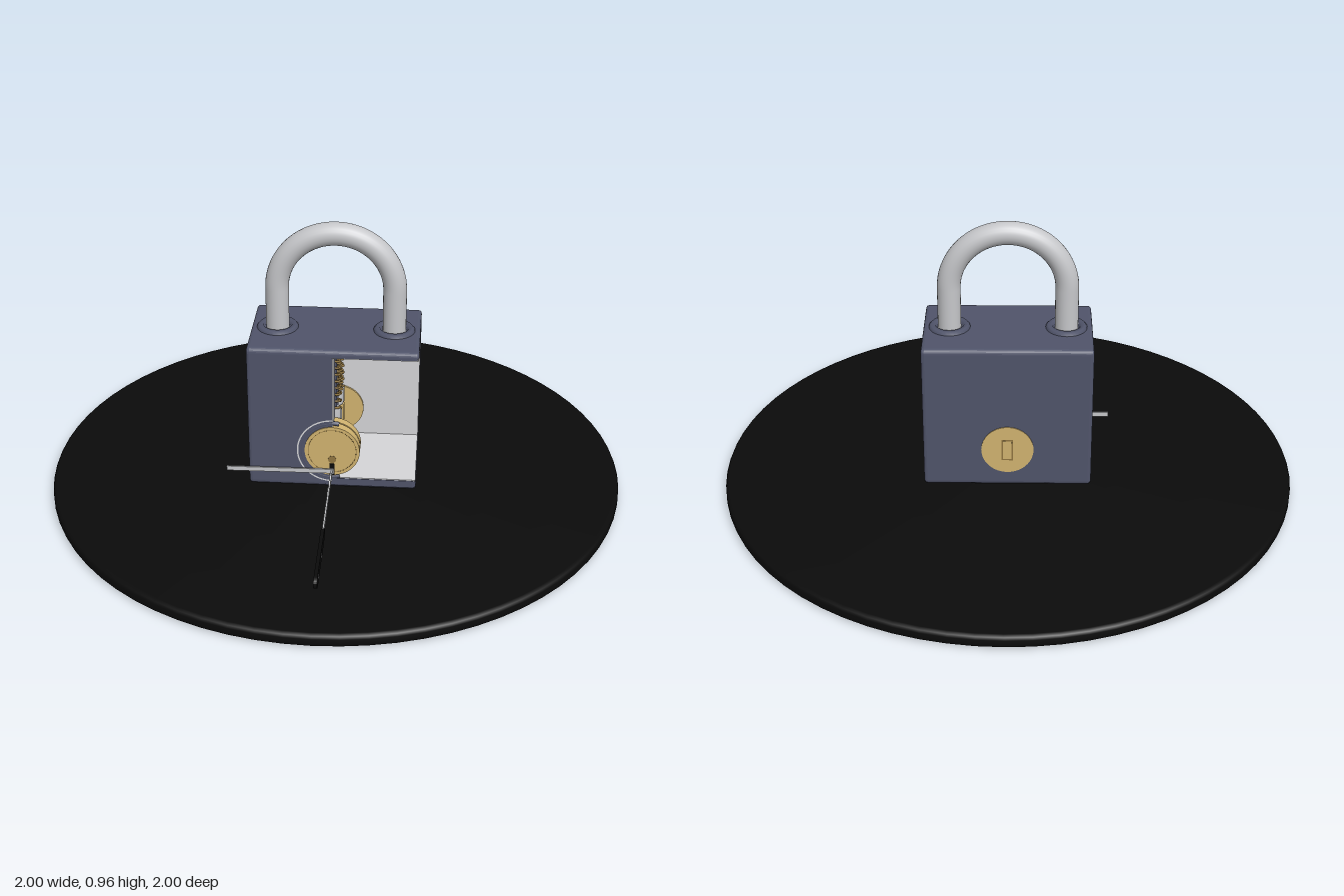
import * as THREE from 'three';

const mat = (name, color) => {
  const m = new THREE.MeshStandardMaterial({ color });
  m.name = name;
  return m;
};

export function createModel() {
  const root = new THREE.Group();
  root.name = 'cutawayPadlock';
  const black = mat('black', 0x0b0b0b);
  const slate = mat('slate', 0x50546a);
  const white = mat('insideWhite', 0xd6d6d8);
  const steel = mat('steel', 0xc6c7ca);
  const brass = mat('brass', 0xd2b470);
  const darkBrass = mat('darkBrass', 0x8f7440);
  white.side = THREE.DoubleSide;

  const add = (name, geo, material, x = 0, y = 0, z = 0, parent = root) => {
    const m = new THREE.Mesh(geo, material);
    m.name = name;
    m.position.set(x, y, z);
    parent.add(m);
    return m;
  };
  const box = (name, material, w, h, d, x, y, z) =>
    add(name, new THREE.BoxGeometry(w, h, d), material, x, y, z);
  // cylinder lying along z
  const disc = (name, material, r, z0, z1, x, y, seg = 48) =>
    add(name, new THREE.CylinderGeometry(r, r, z1 - z0, seg).rotateX(Math.PI / 2), material, x, y, (z0 + z1) / 2);
  const lathe = (pts, seg = 32) =>
    new THREE.LatheGeometry(pts.map(([r, y]) => new THREE.Vector2(r, y)), seg);
  // side profile (u = -z, v = y) swept along x from x0
  const sweepX = (shape, x0, depth, bevel = 0) =>
    new THREE.ExtrudeGeometry(shape, {
      depth, curveSegments: 6, bevelEnabled: bevel > 0, bevelThickness: bevel,
      bevelSize: bevel, bevelOffset: -bevel, bevelSegments: 3,
    }).rotateY(Math.PI / 2).translate(x0, 0, 0);

  // Round base plate
  add('basePlate', lathe([[0, 0], [0.985, 0], [0.997, 0.006], [1, 0.015], [1, 0.032], [0.996, 0.041], [0.985, 0.046], [0, 0.046]], 72), black);

  // Body: solid half, grooved end cap and open half
  const Z = 0.175, B = 0.045, T = 0.575, R = 0.018;
  const sideShape = () => {
    const s = new THREE.Shape();
    s.moveTo(-Z + R, B).lineTo(Z - R, B).quadraticCurveTo(Z, B, Z, B + R);
    s.lineTo(Z, T - R).quadraticCurveTo(Z, T, Z - R, T);
    s.lineTo(-Z + R, T).quadraticCurveTo(-Z, T, -Z, T - R);
    s.lineTo(-Z, B + R).quadraticCurveTo(-Z, B, -Z + R, B);
    return s;
  };
  add('bodySolidHalf', sweepX(sideShape(), -0.276, 0.276), slate);

  const cap = sideShape();
  for (let i = 0; i < 6; i++) {
    const y = 0.15 + i * 0.062, h = 0.011;
    const hole = new THREE.Path();
    hole.moveTo(-0.14, y - h).lineTo(-0.14, y + h).lineTo(0.14, y + h).lineTo(0.14, y - h).closePath();
    cap.holes.push(hole);
  }
  // the groove edges keep a smaller bevel than the body edge
  add('bodyGroovedSide', sweepX(cap, -0.278, 0.012, 0.012), slate);

  const c = new THREE.Shape();
  c.moveTo(-Z, B + 0.008).lineTo(-Z + 0.008, B).lineTo(Z - R, B).quadraticCurveTo(Z, B, Z, B + R);
  c.lineTo(Z, T - R).quadraticCurveTo(Z, T, Z - R, T).lineTo(-Z + R, T).quadraticCurveTo(-Z, T, -Z, T - R);
  c.lineTo(-Z, 0.55).lineTo(0.14, 0.55).lineTo(0.14, 0.08).lineTo(-Z, 0.08);
  add('bodyOpenHalf', sweepX(c, -0.02, 0.298, 0.012), slate);

  // Light lining of the cutaway
  box('liningBack', white, 0.285, 0.466, 0.004, 0.146, 0.314, -0.138);
  box('liningSide', white, 0.004, 0.466, 0.312, 0.001, 0.314, 0.017);
  box('liningFloor', white, 0.284, 0.004, 0.312, 0.146, 0.081, 0.017);
  box('liningRoof', white, 0.284, 0.004, 0.312, 0.146, 0.549, 0.017);

  // Shackle: arch and legs as one path, the +x leg hangs into the cutaway
  const arch = [new THREE.Vector3(-0.2, 0.5, 0), new THREE.Vector3(-0.2, 0.725, 0)];
  const path = new THREE.CurvePath();
  path.add(new THREE.LineCurve3(arch[0], arch[1]));
  class Arch extends THREE.Curve {
    getPoint(t, v = new THREE.Vector3()) {
      const a = Math.PI * (1 - t);
      return v.set(0.2 * Math.cos(a), 0.725 + 0.2 * Math.sin(a), 0);
    }
  }
  path.add(new Arch());
  path.add(new THREE.LineCurve3(new THREE.Vector3(0.2, 0.725, 0), new THREE.Vector3(0.2, 0.525, 0)));
  add('shackle', new THREE.TubeGeometry(path, 90, 0.04, 24), steel);
  add('shackleEnd', new THREE.CylinderGeometry(0.04, 0.04, 0.02, 24), steel, 0.2, 0.519, 0);
  box('shackleLatch', steel, 0.05, 0.025, 0.05, 0.205, 0.515, 0);

  // Collars around the shackle legs
  for (const s of [-1, 1])
    add('shackleCollar', lathe([[0.071, 0.57], [0.071, 0.578], [0.064, 0.586], [0.05, 0.586], [0.044, 0.576]]), slate, s * 0.2, 0, 0);

  // Lock cylinder: front face, stepped rim, cut core and rear plug
  const LY = 0.19;
  disc('lockFace', brass, 0.095, 0.145, 0.178, 0, LY);
  disc('lockRimGroove', darkBrass, 0.089, 0.138, 0.146, 0, LY);
  disc('lockCollar', brass, 0.095, 0.108, 0.139, 0, LY);
  box('lockCore', brass, 0.014, 0.075, 0.245, 0.002, 0.13, -0.014);
  box('lockCoreSeam', darkBrass, 0.003, 0.004, 0.245, 0.009, 0.142, -0.014);
  box('lockCoreSeam', darkBrass, 0.003, 0.004, 0.245, 0.009, 0.104, -0.014);
  disc('rearPlug', brass, 0.09, -0.178, -0.128, 0, LY);
  box('rearSlotFrame', darkBrass, 0.04, 0.082, 0.003, 0, LY, -0.178);
  box('rearSlot', brass, 0.03, 0.072, 0.004, 0, LY, -0.1785);

  add('faceRing', new THREE.TorusGeometry(0.083, 0.002, 4, 48), darkBrass, 0, LY, 0.177);
  add('cutEdgeRing', new THREE.RingGeometry(0.117, 0.122, 40, 1, Math.PI / 2, Math.PI), white, 0, LY, 0.1765);
  add('recessRing', new THREE.TorusGeometry(0.106, 0.008, 8, 40, Math.PI * 1.15).rotateZ(Math.PI * 0.43), slate, 0, LY, 0.168);

  // Keyhole
  disc('keyholeTop', darkBrass, 0.014, 0.177, 0.1795, 0, 0.158, 20);
  box('keyholeSlot', black, 0.018, 0.045, 0.003, 0, 0.118, 0.1785);

  // Pin stacks: chamber, spring, driver pin and pointed key pin
  class Helix extends THREE.Curve {
    constructor(y0, y1, r, turns) {
      super();
      Object.assign(this, { y0, y1, r, turns });
    }
    getPoint(t, v = new THREE.Vector3()) {
      const a = t * this.turns * Math.PI * 2;
      return v.set(this.r * Math.cos(a), this.y0 + (this.y1 - this.y0) * t, this.r * Math.sin(a));
    }
  }
  // [z, bottom of key pin, bottom of driver, top of driver]
  const stacks = [[0.086, 0.148, 0.24, 0.315], [0.03, 0.145, 0.22, 0.28], [-0.028, 0.155, 0.265, 0.325], [-0.086, 0.148, 0.24, 0.305]];
  for (const [z, y0, y1, y2] of stacks) {
    const stack = new THREE.Group();
    stack.name = 'pinStack';
    stack.position.z = z;
    root.add(stack);
    add('chamber', new THREE.BoxGeometry(0.003, 0.548 - y1, 0.046), slate, 0.003, (0.548 + y1) / 2, 0, stack);
    add('spring', new THREE.TubeGeometry(new Helix(y2, 0.546, 0.017, 9), 160, 0.0045, 6), darkBrass, 0.003, 0, 0, stack);
    add('springCore', new THREE.CylinderGeometry(0.008, 0.008, 0.545 - y2, 10), slate, 0.003, (0.545 + y2) / 2, 0, stack);
    add('driverPin', lathe([[0, y1], [0.018, y1], [0.021, y1 + 0.004], [0.021, y2 - 0.004], [0.018, y2], [0, y2]], 20), steel, 0.003, 0, 0, stack);
    add('keyPin', lathe([[0, y0], [0.007, y0], [0.021, y0 + 0.02], [0.021, y1 - 0.006], [0.017, y1], [0, y1]], 20), brass, 0.003, 0, 0, stack);
  }

  // Lock pick: flat blade with a wavy tip, and a dark handle with rivets
  const blade = new THREE.Shape();
  blade.moveTo(-0.12, 0.11).lineTo(-0.2, 0.112).lineTo(-0.34, 0.119).lineTo(-0.57, 0.108);
  blade.lineTo(-0.57, 0.128).lineTo(-0.36, 0.13);
  for (let i = 0; i < 3; i++) {
    const u = -0.335 + i * 0.05;
    blade.lineTo(u, 0.142 - i * 0.003).lineTo(u + 0.025, 0.126 - i * 0.002);
  }
  blade.lineTo(-0.12, 0.118);
  add('pickBlade', sweepX(blade, -0.003, 0.006), steel);

  const grip = new THREE.Shape();
  grip.moveTo(-0.56, 0.106).lineTo(-0.56, 0.132).quadraticCurveTo(-0.58, 0.138, -0.62, 0.136);
  grip.lineTo(-0.82, 0.138).quadraticCurveTo(-0.85, 0.138, -0.85, 0.12).quadraticCurveTo(-0.85, 0.098, -0.82, 0.098);
  grip.lineTo(-0.62, 0.1).quadraticCurveTo(-0.58, 0.098, -0.56, 0.106);
  add('pickHandle', sweepX(grip, -0.006, 0.012), black);
  for (const z of [0.69, 0.8])
    add('handleRivet', new THREE.CylinderGeometry(0.008, 0.008, 0.014, 12).rotateZ(Math.PI / 2), steel, 0, 0.118, z);

  // Tension wrench: bent bar reaching out to the right
  const bar = box('tensionBar', steel, 0.37, 0.016, 0.006, -0.18, 0.116, 0.189);
  bar.rotation.y = 0.015;
  box('tensionTip', steel, 0.007, 0.014, 0.05, 0.004, 0.114, 0.165);

  return root;
}
